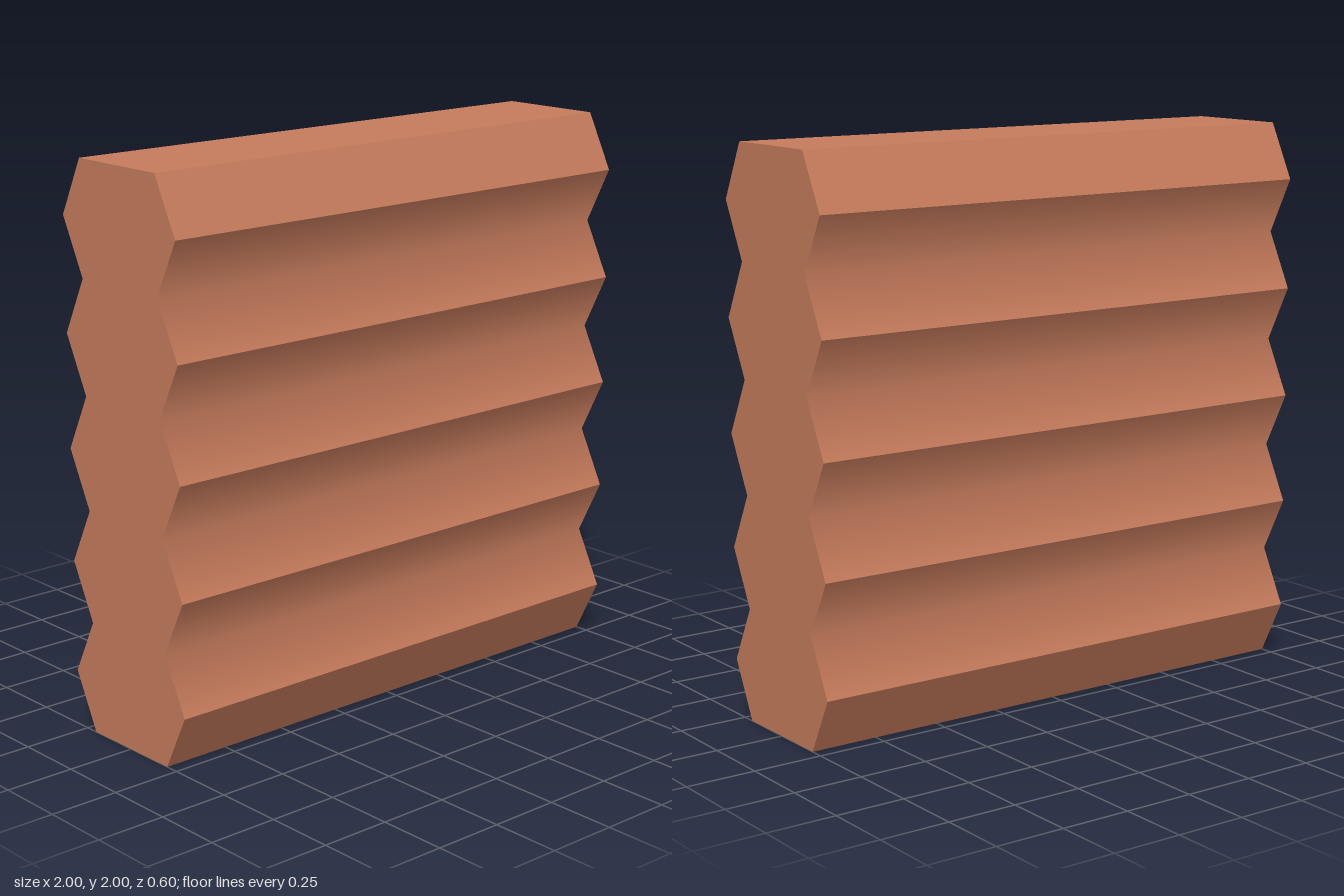
import * as THREE from 'three';

const WIDTH = 2, HEIGHT = 2, RIDGES = 5;
const VALLEY_Z = 0.2, RIDGE_Z = 0.3;
const STEP = HEIGHT / (RIDGES * 2);

// Sheet spanning the full width along a [z, y] path; normals blend at the path's inner points
function sheet(path) {
  const segNormals = path.slice(1).map(([z, y], i) =>
    new THREE.Vector3(0, path[i][0] - z, y - path[i][1]).normalize());
  const positions = [], normals = [], index = [];
  path.forEach(([z, y], i) => {
    const before = segNormals[Math.max(i - 1, 0)];
    const after = segNormals[Math.min(i, segNormals.length - 1)];
    const n = before.clone().add(after).normalize();
    for (const x of [-WIDTH / 2, WIDTH / 2]) {
      positions.push(x, y, z);
      normals.push(n.x, n.y, n.z);
    }
    if (i > 0) {
      const a = 2 * (i - 1);
      index.push(a, a + 1, a + 3, a, a + 3, a + 2);
    }
  });
  const geometry = new THREE.BufferGeometry();
  geometry.setAttribute('position', new THREE.Float32BufferAttribute(positions, 3));
  geometry.setAttribute('normal', new THREE.Float32BufferAttribute(normals, 3));
  geometry.setIndex(index);
  return geometry;
}

export function createModel() {
  const model = new THREE.Group();
  model.name = 'corrugatedPanel';
  const terracotta = new THREE.MeshStandardMaterial({ color: 0xc67b5c });
  terracotta.name = 'terracotta';

  const add = (name, geometry, parent = model) => {
    const mesh = new THREE.Mesh(geometry, terracotta);
    mesh.name = name;
    parent.add(mesh);
    return mesh;
  };

  // Zigzag of the front, from bottom to top
  const zigzag = [];
  for (let i = 0; i <= RIDGES * 2; i++) zigzag.push([i % 2 ? RIDGE_Z : VALLEY_Z, i * STEP]);

  // Front and back: bevels at the ends, smooth valleys between sharp ridges
  for (const side of ['front', 'back']) {
    const face = new THREE.Group();
    face.name = side + 'Face';
    if (side === 'back') face.rotation.y = Math.PI;
    add('bottomBevel', sheet(zigzag.slice(0, 2)), face);
    for (let i = 1; i < RIDGES * 2 - 1; i += 2) add('valley', sheet(zigzag.slice(i, i + 3)), face);
    add('topBevel', sheet(zigzag.slice(-2)), face);
    model.add(face);
  }

  // Flat top and bottom
  add('top', sheet([[VALLEY_Z, HEIGHT], [-VALLEY_Z, HEIGHT]]));
  add('bottom', sheet([[-VALLEY_Z, 0], [VALLEY_Z, 0]]));

  // Flat ends with the zigzag outline
  const outline = [...zigzag, ...zigzag.map(([z, y]) => [-z, y]).reverse()];
  const endShape = new THREE.Shape(outline.map(([z, y]) => new THREE.Vector2(z, y)));
  const endGeometry = new THREE.ShapeGeometry(endShape);
  for (const s of [1, -1]) {
    const end = add(s > 0 ? 'leftEnd' : 'rightEnd', endGeometry);
    end.rotation.y = s * Math.PI / 2;
    end.position.x = s * WIDTH / 2;
  }
  return model;
}
